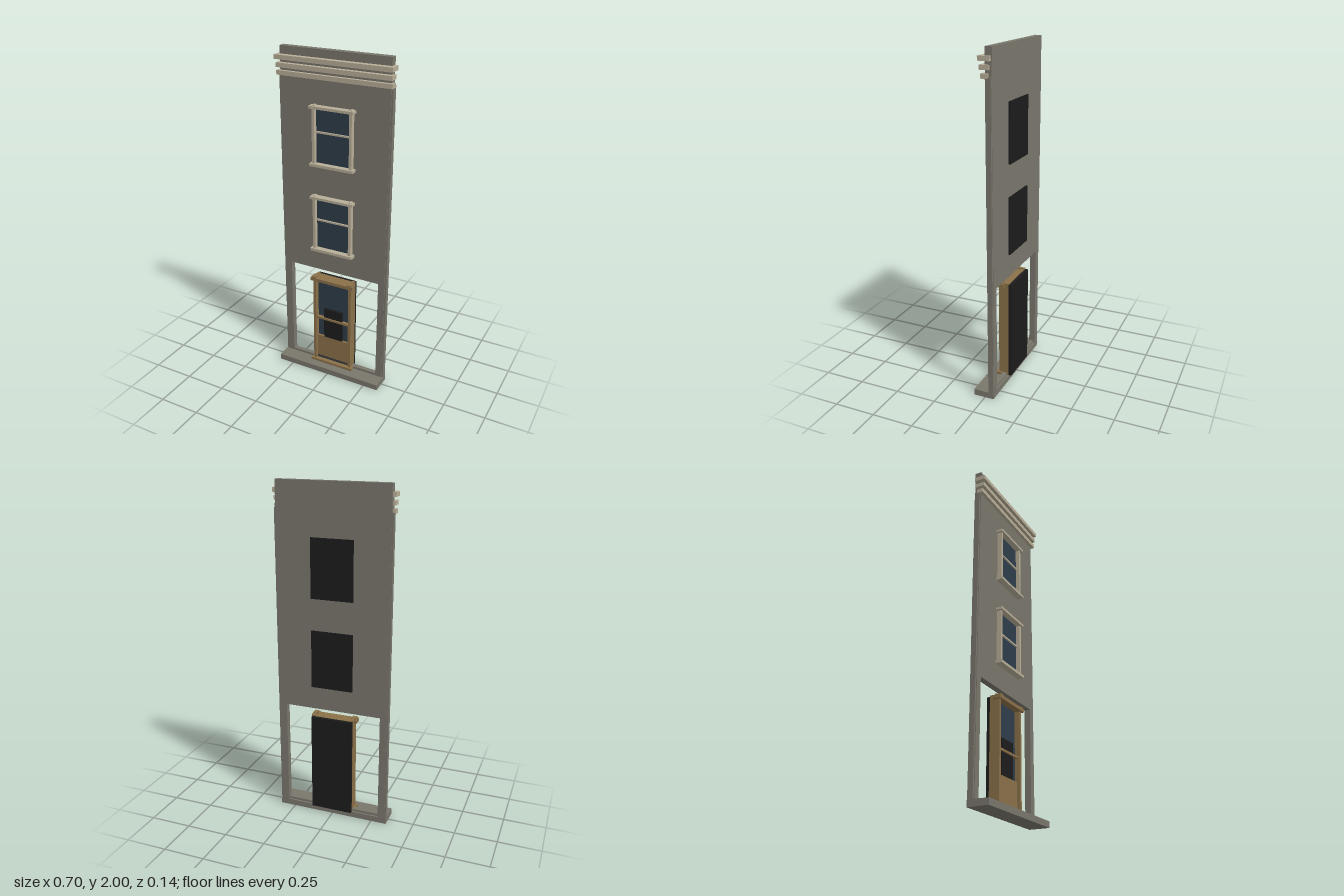
import * as THREE from 'three';

const mat = (name, color) => {
  const m = new THREE.MeshStandardMaterial({ color });
  m.name = name;
  return m;
};

export function createModel() {
  const stone = mat('grey stone', 0x79766b);
  const trim = mat('pale trim', 0xb8ae98);
  const wood = mat('brown wood', 0x8a7049);
  const glass = mat('dark blue glass', 0x2e3d4a);
  const black = mat('black backing', 0x1c1c1c);
  const metal = mat('kick plate grey', 0x3d3d3d);

  const model = new THREE.Group();
  model.name = 'townhouseFacade';

  // Box given by its extents on each axis
  const box = (parent, name, m, [x0, x1], [y0, y1], [z0, z1]) => {
    const mesh = new THREE.Mesh(new THREE.BoxGeometry(x1 - x0, y1 - y0, z1 - z0), m);
    mesh.position.set((x0 + x1) / 2, (y0 + y1) / 2, (z0 + z1) / 2);
    mesh.name = name;
    parent.add(mesh);
  };
  const group = (name) => {
    const g = new THREE.Group();
    g.name = name;
    model.add(g);
    return g;
  };
  // The same box on both sides
  const pair = (parent, name, m, [x0, x1], y, z) => {
    box(parent, name + 'Left', m, [x0, x1], y, z);
    box(parent, name + 'Right', m, [-x1, -x0], y, z);
  };

  // Wall, with a wide opening at street level
  const wall = group('wall');
  box(wall, 'upperWall', stone, [-0.332, 0.332], [0.688, 1.92], [-0.055, -0.018]);
  box(wall, 'parapet', stone, [-0.332, 0.332], [1.92, 2], [-0.057, -0.018]);
  pair(wall, 'pier', stone, [0.292, 0.332], [0.035, 0.688], [-0.055, -0.018]);
  pair(wall, 'sideStrip', stone, [0.332, 0.342], [0.035, 1.85], [-0.053, -0.022]);

  // Stepped base
  const base = group('base');
  box(base, 'plinth', stone, [-0.343, 0.343], [0, 0.036], [-0.055, 0.069]);
  box(base, 'threshold', stone, [-0.292, 0.292], [0.036, 0.051], [-0.045, -0.018]);

  // Three cornice bands, growing outward toward the top
  const cornice = group('cornice');
  [[1.843, 0.346, -0.038, 0.002], [1.886, 0.345, -0.044, 0.009], [1.93, 0.35, -0.051, 0.016]]
    .forEach(([y, x, z0, z1], i) =>
      box(cornice, 'corniceBand' + (i + 1), trim, [-x, x], [y, y + 0.025], [z0, z1]));

  // Sash windows
  [0.825, 1.355].forEach((y, i) => {
    const w = group('window' + (i + 1));
    box(w, 'pane', glass, [-0.112, 0.112], [y + 0.012, y + 0.335], [-0.018, -0.013]);
    pair(w, 'jamb', trim, [0.107, 0.123], [y + 0.012, y + 0.35], [-0.018, 0.011]);
    box(w, 'sill', trim, [-0.136, 0.136], [y, y + 0.016], [-0.018, 0.023]);
    box(w, 'head', trim, [-0.136, 0.136], [y + 0.331, y + 0.346], [-0.018, 0.023]);
    box(w, 'meetingRail', trim, [-0.107, 0.107], [y + 0.19, y + 0.2], [-0.013, -0.003]);
    box(w, 'backing', black, [-0.125, 0.125], [y, y + 0.343], [-0.064, -0.055]);
  });

  // Door with frame, glazing and backing
  const door = group('door');
  pair(door, 'doorJamb', wood, [0.11, 0.128], [0.036, 0.643], [-0.054, 0.006]);
  box(door, 'doorCap', wood, [-0.141, 0.141], [0.617, 0.637], [-0.03, 0.018]);
  box(door, 'doorHead', wood, [-0.128, 0.128], [0.617, 0.637], [-0.054, -0.03]);
  pair(door, 'capEnd', wood, [0.105, 0.135], [0.637, 0.645], [-0.02, 0.016]);
  box(door, 'doorSill', wood, [-0.141, 0.141], [0.036, 0.051], [-0.018, 0.018]);
  box(door, 'doorGlass', glass, [-0.11, 0.11], [0.212, 0.617], [-0.032, -0.026]);
  box(door, 'lowerPanel', wood, [-0.11, 0.11], [0.036, 0.214], [-0.054, -0.012]);
  box(door, 'kickPlate', metal, [-0.108, 0.108], [0.051, 0.066], [-0.012, -0.008]);
  box(door, 'darkPanel', black, [-0.064, 0.061], [0.212, 0.418], [-0.026, -0.012]);
  box(door, 'doorRail', wood, [-0.11, 0.11], [0.343, 0.356], [-0.026, -0.004]);
  box(door, 'doorBacking', black, [-0.126, 0.126], [0.036, 0.636], [-0.072, -0.054]);

  return model;
}
